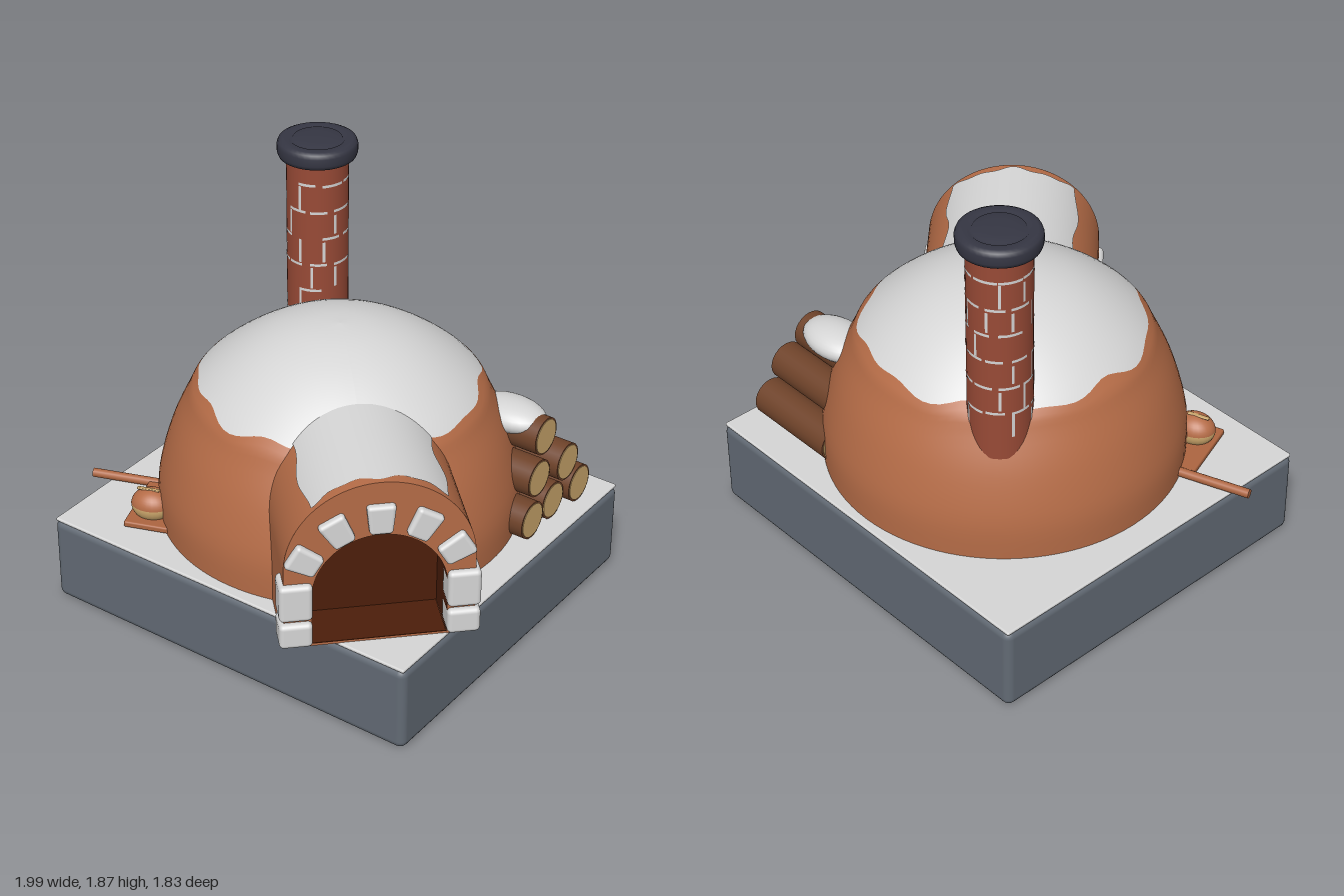
import * as THREE from 'three';
import { RoundedBoxGeometry } from 'three/addons/geometries/RoundedBoxGeometry.js';

const mat = (name, color, side = THREE.FrontSide) =>
  Object.assign(new THREE.MeshStandardMaterial({ color, side }), { name });

export function createModel() {
  const D = THREE.DoubleSide;
  const clay = mat('clay', 0xb56c47, D), snow = mat('snow', 0xd6d6d6, D), slate = mat('slate', 0x626a74);
  const brick = mat('brick', 0x984a36), iron = mat('iron', 0x353643, D), soot = mat('soot', 0x4c1e0a, D);
  const bark = mat('bark', 0x6f432a), wood = mat('cut wood', 0xcba66b), peelWood = mat('peel wood', 0xad6540);

  const model = new THREE.Group();
  model.name = 'outdoorOven';
  const add = (name, geo, material, x = 0, y = 0, z = 0, parent = model) => {
    const m = new THREE.Mesh(geo, material);
    m.name = name;
    m.position.set(x, y, z);
    parent.add(m);
    return m;
  };
  // Curved sheet from a rule (u, v) -> [x, y, z]
  const sheet = (fn, nu, nv) => {
    const g = new THREE.PlaneGeometry(1, 1, nu, nv), p = g.attributes.position, uv = g.attributes.uv;
    for (let i = 0; i < p.count; i++) p.setXYZ(i, ...fn(uv.getX(i), uv.getY(i)));
    g.computeVertexNormals();
    return g;
  };
  let seed = 7;
  const rand = () => (seed = (seed * 16807) % 2147483647) / 2147483647;

  // Plinth with a dusting of snow
  add('plinth', new RoundedBoxGeometry(1.82, 0.392, 1.65, 3, 0.035), slate, -0.02, 0.196, -0.095);
  add('plinthSnow', new RoundedBoxGeometry(1.806, 0.016, 1.636, 2, 0.007), snow, -0.02, 0.392, -0.095);

  // Dome: one profile, divided along a wavy snow line
  const profile = new THREE.SplineCurve([
    [0.775, 0.395], [0.772, 0.57], [0.72, 0.77], [0.65, 0.93], [0.6, 1.02],
    [0.46, 1.135], [0.31, 1.22], [0.15, 1.27], [0, 1.285],
  ].map(p => new THREE.Vector2(...p)));
  const snowLine = a => 0.505 + 0.014 * Math.sin(7 * a) + 0.011 * Math.sin(12 * a + 1);
  const domeSheet = (from, to) => sheet((u, v) => {
    const a = u * Math.PI * 2 + Math.PI / 4;
    const p = profile.getPoint(THREE.MathUtils.lerp(from(a), to(a), v));
    return [p.x * Math.sin(a), p.y, p.x * Math.cos(a)];
  }, 96, 16);
  add('domeClay', domeSheet(() => 0, snowLine), clay, -0.02, 0, -0.1);
  add('domeSnow', domeSheet(snowLine, () => 1), snow, -0.02, 0, -0.1);

  // Entrance tunnel, pointing diagonally out of the dome
  const tunnel = new THREE.Group();
  tunnel.name = 'entranceTunnel';
  tunnel.position.set(-0.02, 0, -0.1);
  tunnel.rotation.y = Math.PI / 4;
  model.add(tunnel);
  const FRONT = 1.0;
  const archOutline = (Type, r, cy, y0) => {
    const s = new Type();
    s.moveTo(-r, y0);
    s.lineTo(r, y0);
    s.lineTo(r, cy);
    s.absarc(0, cy, r, 0, Math.PI, false);
    s.lineTo(-r, y0);
    return s;
  };
  // Open arch sheet: straight legs and a half round, between two depths
  const archSheet = (r, cy, y0, z0, z1) => {
    const leg = cy - y0, total = 2 * leg + Math.PI * r;
    return sheet((u, v) => {
      const d = u * total, z = z0 + (z1 - z0) * v;
      if (d < leg) return [r, y0 + d, z];
      if (d > total - leg) return [-r, y0 + total - d, z];
      const a = (d - leg) / r;
      return [r * Math.cos(a), cy + r * Math.sin(a), z];
    }, 60, 4);
  };
  add('tunnelClay', archSheet(0.385, 0.765, 0.4, 0.2, FRONT), clay, 0, 0, 0, tunnel);
  const face = archOutline(THREE.Shape, 0.385, 0.765, 0.4);
  face.holes.push(archOutline(THREE.Path, 0.272, 0.635, 0.408));
  add('tunnelFace', new THREE.ShapeGeometry(face, 24), clay, 0, 0, FRONT, tunnel);
  add('tunnelFloor', new THREE.BoxGeometry(0.77, 0.006, 0.6), clay, 0, 0.401, FRONT - 0.3, tunnel);
  add('tunnelSnow', sheet((u, v) => {
    const a = THREE.MathUtils.lerp(0.76 + 0.04 * Math.sin(v * 14), Math.PI - 0.76 + 0.04 * Math.sin(v * 11), u);
    const z = THREE.MathUtils.lerp(0.25, 0.965 + 0.01 * Math.sin(a * 9) + 0.007 * Math.sin(a * 17), v);
    return [0.389 * Math.cos(a), 0.765 + 0.389 * Math.sin(a), z];
  }, 40, 24), snow, 0, 0, 0, tunnel);
  // Sooty mouth
  add('mouthWall', archSheet(0.272, 0.635, 0.408, 0.785, FRONT), soot, 0, 0, 0, tunnel);
  add('mouthBack', new THREE.ShapeGeometry(archOutline(THREE.Shape, 0.272, 0.635, 0.408), 24), soot, 0, 0, 0.787, tunnel);
  add('mouthFloor', new THREE.BoxGeometry(0.54, 0.006, 0.215), soot, 0, 0.408, 0.892, tunnel);

  // Stone surround
  for (const s of [-1, 1]) {
    add('lowerJambStone', new RoundedBoxGeometry(0.135, 0.112, 0.13, 3, 0.02), snow, s * 0.338, 0.466, 0.965, tunnel);
    add('upperJambStone', new RoundedBoxGeometry(0.135, 0.168, 0.13, 3, 0.02), snow, s * 0.338, 0.622, 0.965, tunnel);
  }
  for (const deg of [-59, -29, 0, 29, 59]) {
    const a = THREE.MathUtils.degToRad(deg);
    const g = new RoundedBoxGeometry(0.105, 0.13, 0.06, 3, 0.016), p = g.attributes.position;
    for (let i = 0; i < p.count; i++) p.setX(i, p.getX(i) * (1 + p.getY(i) * 2));
    add('archStone', g, snow, 0.352 * Math.sin(a), 0.635 + 0.352 * Math.cos(a), FRONT, tunnel).rotation.z = -a;
  }

  // Chimney with broken mortar lines
  const chimney = new THREE.Group();
  chimney.name = 'chimney';
  chimney.position.set(-0.42, 0, -0.49);
  model.add(chimney);
  add('chimneyBricks', new THREE.CylinderGeometry(0.133, 0.133, 0.95, 40), brick, 0, 1.325, 0, chimney);
  const mortar = (y, h, start, arc) =>
    add('mortar', new THREE.CylinderGeometry(0.1345, 0.1345, h, 6, 1, true, start, arc), snow, 0, y, 0, chimney);
  const COURSE = 0.125, BRICKS = 8, STEP = Math.PI * 2 / BRICKS;
  for (let row = 0; row < 6; row++) {
    const y = 1.7 - row * COURSE;
    for (let i = 0; i < BRICKS; i++) {
      const a = (i + (row % 2) / 2) * STEP;
      if (rand() < 0.8) mortar(y + (rand() - 0.5) * 0.008, 0.012, a, STEP * (0.6 + 0.4 * rand()));
      if (rand() < 0.75) mortar(y - COURSE / 2, COURSE * (0.6 + 0.4 * rand()), a, 0.09);
    }
  }
  add('chimneyCap', new THREE.LatheGeometry([
    [0, 1.785], [0.15, 1.785], [0.166, 1.793], [0.172, 1.81], [0.172, 1.842], [0.166, 1.858],
    [0.15, 1.866], [0.118, 1.866], [0.11, 1.858], [0.105, 1.866], [0.06, 1.87], [0, 1.872],
  ].map(p => new THREE.Vector2(...p)), 40), iron, 0, 0, 0, chimney);

  // Log pile: rows of three, two and one
  const R = 0.085;
  const ends = [[0.8, 0.79, 0.81], [0.77, 0.8], [0.74]];
  ends.forEach((row, j) => row.forEach((end, i) => {
    const y = 0.487 + j * 0.152, z = -0.53 + (row.length - 1) * 0.09 - i * 0.18, len = end - 0.36;
    const log = new THREE.CylinderGeometry(R, R, len, 24).rotateZ(Math.PI / 2);
    add('log', log, bark, end - len / 2, y, z);
    for (const s of [-1, 1]) {
      const disc = new THREE.CylinderGeometry(0.077, 0.077, 0.006, 24).rotateZ(Math.PI / 2);
      add('logEnd', disc, wood, s > 0 ? end : 0.36, y, z);
    }
  }));
  add('logSnow', new THREE.SphereGeometry(1, 28, 16).scale(0.175, 0.068, 0.115), snow, 0.555, 0.838, -0.535);

  // Baker's peel with a loaf
  const turn = Math.atan2(0.34, 0.94);
  add('peelHandle', new THREE.CylinderGeometry(0.02, 0.02, 0.5, 16).rotateZ(Math.PI / 2), peelWood,
    -0.765, 0.42, 0.295).rotation.y = turn;
  add('peelBoard', new RoundedBoxGeometry(0.26, 0.028, 0.35, 2, 0.008), peelWood, -0.578, 0.417, 0.4).rotation.y = turn;
  const loaf = new THREE.Group();
  loaf.name = 'loaf';
  loaf.position.set(-0.585, 0.475, 0.48);
  loaf.rotation.y = turn;
  model.add(loaf);
  const half = (from, span) => new THREE.SphereGeometry(1, 24, 10, 0, Math.PI * 2, from, span).scale(0.092, 0.072, 0.075);
  add('loafCrust', half(0, 1.5), clay, 0, 0, 0, loaf);
  add('loafBase', half(1.5, Math.PI - 1.5), wood, 0, 0, 0, loaf);
  add('loafSlash', new RoundedBoxGeometry(0.1, 0.009, 0.018, 1, 0.004), wood, -0.015, 0.07, 0, loaf);

  return model;
}
